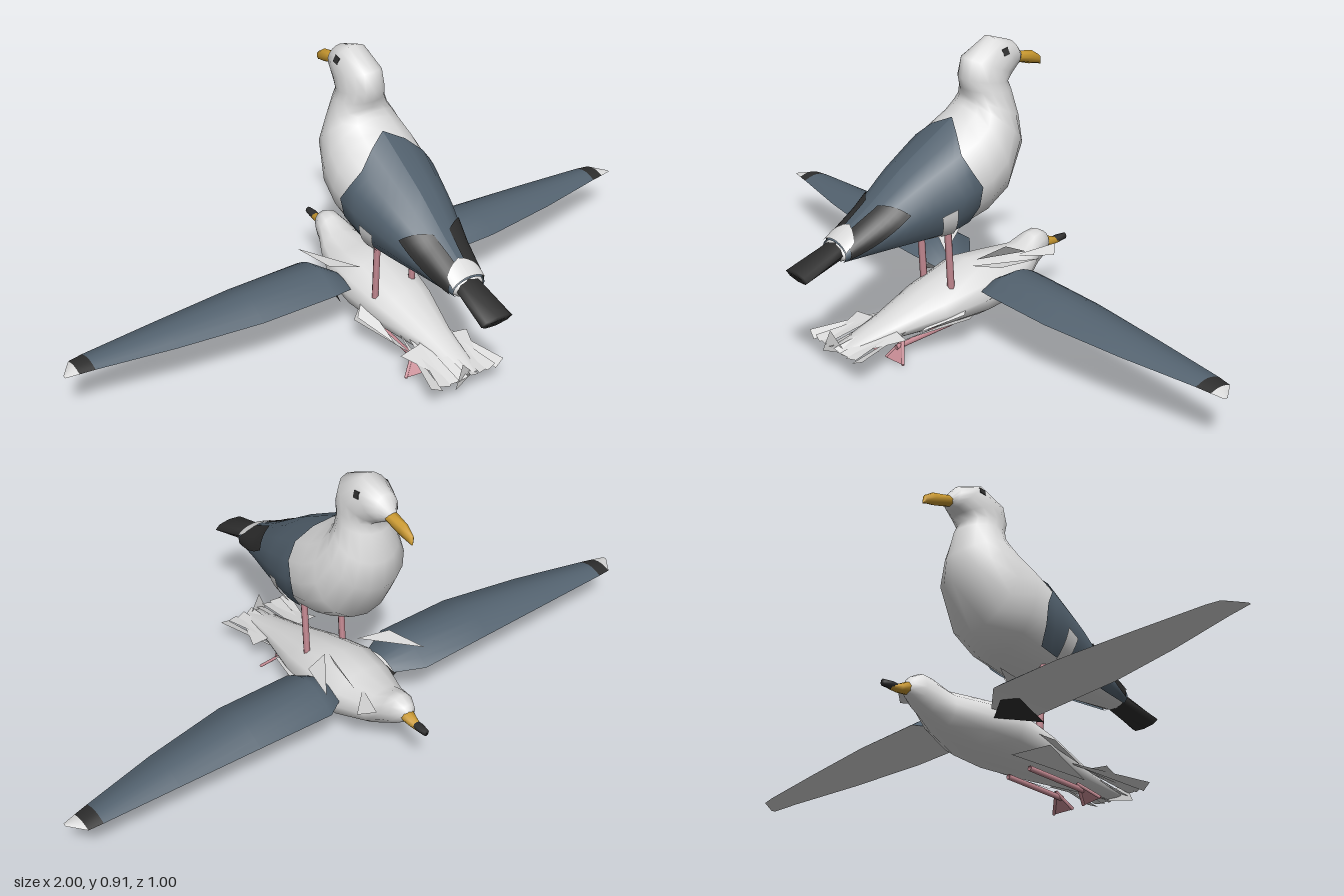
import * as THREE from 'three';

const paint = (name, color) => {
  const m = new THREE.MeshStandardMaterial({ color, side: THREE.DoubleSide });
  m.name = name;
  return m;
};
const white = paint('white plumage', 0xdcdcdc);
const grey = paint('slate wing', 0x53626f);
const black = paint('black feather', 0x2e2e2e);
const yellow = paint('yellow beak', 0xcb9a30);
const pink = paint('pink leg', 0xc98d96);

// Smooth surface from a rule fn(i, j) -> [x, y, z]; closed joins the last column to the first
function grid(fn, nu, nv, closed = false) {
  const cols = closed ? nv : nv + 1, pos = [], idx = [];
  for (let i = 0; i <= nu; i++) for (let j = 0; j < cols; j++) pos.push(...fn(i, j));
  for (let i = 0; i < nu; i++) for (let j = 0; j < nv; j++) {
    const k = (j + 1) % cols, a = i * cols + j, b = i * cols + k;
    idx.push(a, b, a + cols, b, b + cols, a + cols);
  }
  const g = new THREE.BufferGeometry();
  g.setAttribute('position', new THREE.Float32BufferAttribute(pos, 3));
  g.setIndex(idx);
  g.computeVertexNormals();
  return g;
}

function add(parent, name, geometry, material) {
  const m = new THREE.Mesh(geometry, material);
  m.name = name;
  parent.add(m);
  return m;
}

// Point on a body: sections are [topZ, topY, bottomZ, bottomY, halfWidth], angle 0 is the top
function surf(sections, u, a, off = 0) {
  const i = Math.min(Math.floor(u), sections.length - 2), t = u - i;
  const [tz, ty, bz, by, w] = sections[i].map((v, k) => v + (sections[i + 1][k] - v) * t);
  const h = Math.hypot(tz - bz, ty - by) / 2 || 1;
  const c = Math.cos(a) * (1 + off / h) / 2;
  return [(w + off) * Math.sin(a), (ty + by) / 2 + (ty - by) * c, (tz + bz) / 2 + (tz - bz) * c];
}
const body = (s, n) => grid((i, j) => surf(s, i, (j / n) * Math.PI * 2), s.length - 1, n, true);

// Four-cornered patch lying on a body, corners given as [u, angle]
const patch = (s, [a, b, c, d], off) => grid((i, j) => {
  const p = i / 8, q = j / 8;
  const mix = k => (a[k] * (1 - q) + b[k] * q) * (1 - p) + (d[k] * (1 - q) + c[k] * q) * p;
  return surf(s, mix(0), mix(1), off);
}, 8, 8);

// Flat feather with three corners
function shard(parent, name, pts, material = white) {
  const g = new THREE.BufferGeometry();
  g.setAttribute('position', new THREE.Float32BufferAttribute(pts.flat(), 3));
  g.computeVertexNormals();
  return add(parent, name, g, material);
}

function rod(parent, name, from, to, r) {
  const path = new THREE.LineCurve3(new THREE.Vector3(...from), new THREE.Vector3(...to));
  return add(parent, name, new THREE.TubeGeometry(path, 1, r, 6), pink);
}

// Half of a bird built on +x, then mirrored to -x
function bothSides(parent, name, build) {
  for (const side of [1, -1]) {
    const g = new THREE.Group();
    g.name = (side > 0 ? 'left ' : 'right ') + name;
    g.scale.x = side;
    build(g);
    parent.add(g);
  }
}

function standingBird() {
  const bird = new THREE.Group();
  bird.name = 'standingBird';
  const s = [
    [0.38, 0.385, 0.38, 0.384, 0.003], [0.37, 0.41, 0.37, 0.36, 0.05], [0.25, 0.485, 0.25, 0.355, 0.08],
    [0.13, 0.575, 0.13, 0.35, 0.118], [0, 0.655, 0.03, 0.345, 0.146], [-0.06, 0.69, -0.11, 0.38, 0.152],
    [-0.095, 0.715, -0.2, 0.43, 0.142], [-0.105, 0.73, -0.275, 0.57, 0.12], [-0.105, 0.745, -0.275, 0.66, 0.094],
    [-0.1, 0.765, -0.255, 0.75, 0.075], [-0.09, 0.80, -0.245, 0.775, 0.069], [-0.1, 0.86, -0.265, 0.79, 0.066],
    [-0.19, 0.91, -0.28, 0.80, 0.055], [-0.27, 0.882, -0.287, 0.805, 0.038], [-0.305, 0.842, -0.29, 0.812, 0.018],
    [-0.3, 0.826, -0.3, 0.825, 0.001],
  ];
  add(bird, 'body', body(s, 16), white);
  add(bird, 'tail', body([
    [0.5, 0.345, 0.5, 0.344, 0.03], [0.503, 0.36, 0.495, 0.328, 0.054],
    [0.36, 0.415, 0.36, 0.365, 0.042], [0.34, 0.39, 0.34, 0.389, 0.01],
  ], 8), black);
  add(bird, 'beak', body([
    [-0.28, 0.83, -0.28, 0.82, 0.015], [-0.3, 0.842, -0.285, 0.812, 0.02],
    [-0.355, 0.832, -0.345, 0.793, 0.016], [-0.385, 0.812, -0.38, 0.787, 0.01], [-0.39, 0.785, -0.388, 0.783, 0.002],
  ], 8), yellow);

  // Folded wing wraps the flank, with a zigzag front edge
  const edge = [4.9, 4.4, 4.1, 4.3, 4.6, 4.55, 4.45];
  bothSides(bird, 'folded wing', g => {
    add(g, 'mantle', grid((i, j) => surf(s, 1 + (edge[j] - 1) * i / 12, j * 0.39, 0.005), 12, 6), grey);
    add(g, 'primaries', patch(s, [[1.15, 0.2], [1.1, 1.9], [2.6, 1.25], [2.1, 0.3]], 0.009), black);
    add(g, 'rump patch', patch(s, [[1, 0], [1, 1.2], [1.25, 0.9], [1.45, 0]], 0.011), white);
    add(g, 'flank patch', patch(s, [[3.36, 1.7], [3.6, 2.36], [4, 2.36], [3.78, 1.68]], 0.009), white);
    rod(g, 'leg', [0.066, 0.39, 0.015], [0.066, 0.17, 0], 0.011);
    const eye = add(g, 'eye', new THREE.BoxGeometry(0.009, 0.021, 0.021), black);
    eye.position.set(0.049, 0.868, -0.21);
    eye.rotation.set(0.2, 0, 0.35);
  });
  return bird;
}

function flyingBird() {
  const bird = new THREE.Group();
  bird.name = 'flyingBird';
  const s = [
    [0.37, 0.08, 0.37, 0.075, 0.03], [0.2, 0.135, 0.2, 0.065, 0.06], [0.05, 0.188, 0.05, 0.06, 0.1],
    [-0.1, 0.232, -0.1, 0.058, 0.122], [-0.2, 0.225, -0.2, 0.068, 0.112], [-0.3, 0.222, -0.3, 0.105, 0.075],
    [-0.35, 0.248, -0.35, 0.135, 0.052], [-0.38, 0.254, -0.38, 0.152, 0.044], [-0.41, 0.237, -0.41, 0.178, 0.028],
    [-0.425, 0.212, -0.425, 0.195, 0.008],
  ];
  const torso = add(bird, 'body', body(s, 12), white);
  torso.position.x = 0.012;
  const beak = new THREE.Group();
  beak.name = 'beak';
  beak.position.x = 0.014;
  bird.add(beak);
  add(beak, 'beak base', body([
    [-0.4, 0.2, -0.4, 0.199, 0.015], [-0.405, 0.228, -0.405, 0.185, 0.024],
    [-0.44, 0.21, -0.44, 0.182, 0.017], [-0.472, 0.2, -0.472, 0.184, 0.011],
  ], 8), yellow);
  add(beak, 'beak tip', body([
    [-0.445, 0.205, -0.445, 0.187, 0.012], [-0.47, 0.207, -0.47, 0.186, 0.015],
    [-0.498, 0.207, -0.498, 0.186, 0.009], [-0.5, 0.2, -0.5, 0.195, 0.001],
  ], 8), black);

  // Wing stations: [x, leading z, trailing z, y, camber]
  const st = [
    [0.1, -0.21, -0.08, 0.165, 0.02], [0.175, -0.268, -0.05, 0.185, 0.05], [0.42, -0.263, -0.052, 0.187, 0.042],
    [0.68, -0.25, -0.095, 0.18, 0.026], [0.915, -0.237, -0.148, 0.172, 0.012],
    [0.96, -0.232, -0.158, 0.169, 0.008], [1, -0.18, -0.168, 0.166, 0.001],
  ];
  const wingPoint = (u, v, k) => {
    const [x, a, b, y, c] = st[u];
    return [x, y + k * c * Math.sin(v * Math.PI), a + (b - a) * v];
  };
  const upper = (from, to) => grid((i, j) => wingPoint(from + i, j / 8, 1), to - from, 8);

  bothSides(bird, 'spread wing', g => {
    add(g, 'wing upper', upper(0, 4), grey);
    add(g, 'wing dark band', upper(4, 5), black);
    add(g, 'wing tip', upper(5, 6), white);
    add(g, 'wing lower', grid((i, j) => wingPoint(i, 1 - j / 8, 0.15), 6, 8), white);
    shard(g, 'wing root', [[0.1, 0.14, -0.2], [0.15, 0.15, -0.06], [0.17, 0.21, -0.22]], black);

    // Ragged body feathers
    shard(g, 'shoulder feather', [[0.06, 0.23, -0.08], [0.15, 0.245, -0.12], [0.18, 0.25, -0.25]]);
    shard(g, 'flank feather', [[0.08, 0.15, -0.05], [0.13, 0.12, 0.0], [0.09, 0.09, 0.14]]);
    shard(g, 'belly feather', [[0.06, 0.07, -0.1], [0.13, 0.1, -0.02], [0.06, 0.065, 0.18]]);
    for (let i = 0; i < 4; i++) {
      const x = 0.005 + i * 0.03;
      shard(g, 'tail feather', [[0.02 + i * 0.012, 0.14 - i * 0.012, 0.1],
        [x, 0.085 - i * 0.004, 0.385], [x + 0.035, 0.07 + i * 0.006, 0.375]]);
    }
    shard(g, 'tail side feather', [[0.12, 0.1, 0.21], [0.03, 0.11, 0.2], [0.06, 0.08, 0.36]]);

    // Legs trail backwards and end in webbed feet
    rod(g, 'leg', [0.045, 0.055, -0.02], [0.045, 0.04, 0.19], 0.008);
    shard(g, 'foot', [[0.045, 0.06, 0.165], [0.02, 0.006, 0.212], [0.1, 0.008, 0.205]], pink);
    rod(g, 'outer toe', [0.045, 0.055, 0.165], [0.098, 0.008, 0.205], 0.005);
    rod(g, 'inner toe', [0.045, 0.055, 0.165], [0.022, 0.006, 0.21], 0.005);
  });
  shard(bird, 'raised back feather', [[0.06, 0.245, -0.1], [0.1, 0.28, -0.18], [0.09, 0.235, -0.27]]);
  shard(bird, 'neck feather', [[0.05, 0.21, -0.25], [0.1, 0.235, -0.38], [0.14, 0.22, -0.34]]);
  shard(bird, 'raised tail feather', [[0.03, 0.07, 0.36], [-0.05, 0.055, 0.385], [-0.02, 0.13, 0.378]]);
  return bird;
}

export function createModel() {
  const model = new THREE.Group();
  model.name = 'two seabirds';
  model.add(standingBird(), flyingBird());
  return model;
}
